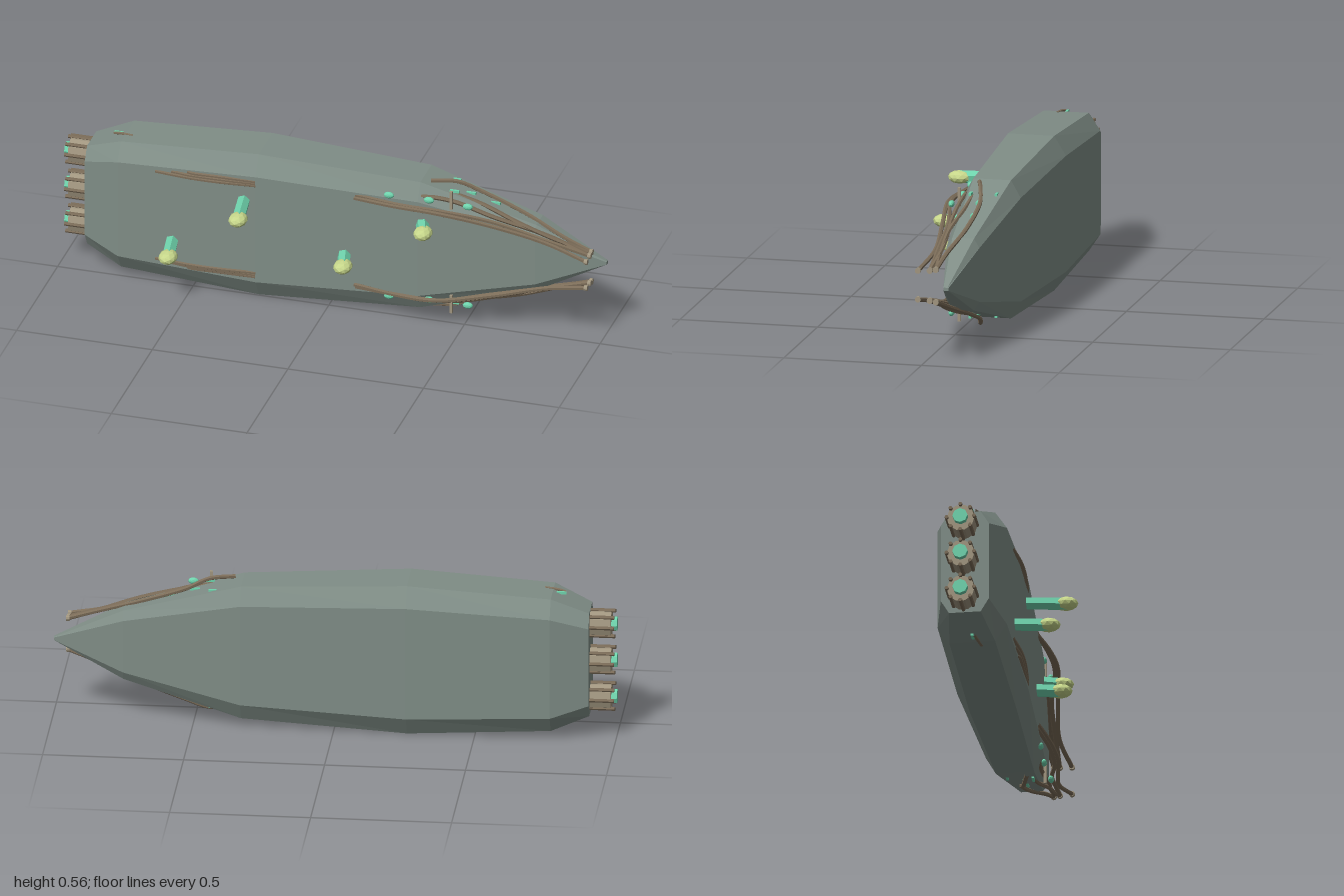
import * as THREE from 'three';

const mat = (name, color, flatShading = false) => {
  const m = new THREE.MeshStandardMaterial({ color, flatShading });
  m.name = name;
  return m;
};

export function createModel() {
  const root = new THREE.Group();
  root.name = 'organicShip';
  const hullGrey = mat('hullGrey', 0x7f8d86, true);
  const rootBrown = mat('rootBrown', 0x7b6c58, true);
  const paleTan = mat('paleTan', 0xa0957f, true);
  const glowGreen = mat('glowGreen', 0x6fd4ad, true);
  const podYellow = mat('podYellow', 0xc6d68a, true);
  const MID = 0.28;

  const add = (name, geo, material, pos = [0, 0, 0], parent = root) => {
    const m = new THREE.Mesh(geo, material);
    m.name = name;
    m.position.set(...pos);
    parent.add(m);
    return m;
  };
  // Upper and lower halves mirror about the hull's mid height
  const flip = ([x, y, z], side) => [x, MID + side * (y - MID), z];

  // Hull: octagonal sections [x, half height, back z, front z]
  const stations = [
    [-0.905, 0.195, -0.187, -0.016], [-0.77, 0.25, -0.217, 0.03],
    [-0.26, 0.28, -0.217, 0.037], [0.33, 0.25, -0.197, 0.01],
    [0.75, 0.13, -0.15, -0.031], [1, 0.006, -0.098, -0.08],
  ];
  const octagon = [[1, -0.66], [1, 0.66], [0.75, 1], [-0.75, 1], [-1, 0.66], [-1, -0.66], [-0.75, -1], [0.75, -1]];
  const rings = stations.map(([x, h, z0, z1]) => octagon.map(([u, v]) =>
    [x, MID + u * h, (z0 + z1) / 2 + v * (z1 - z0) / 2]));
  const verts = [];
  const tri = (...p) => p.forEach((q) => verts.push(...q));
  for (let i = 0; i < rings.length - 1; i++) {
    for (let j = 0; j < 8; j++) {
      const k = (j + 1) % 8;
      const [a, b, c, d] = [rings[i][j], rings[i][k], rings[i + 1][k], rings[i + 1][j]];
      tri(a, b, c);
      tri(a, c, d);
    }
  }
  const stern = rings[0], nose = rings[rings.length - 1];
  for (let j = 1; j < 7; j++) {
    tri(stern[0], stern[j + 1], stern[j]);
    tri(nose[0], nose[j], nose[j + 1]);
  }
  const hull = new THREE.BufferGeometry();
  hull.setAttribute('position', new THREE.Float32BufferAttribute(verts, 3));
  hull.computeVertexNormals();
  add('hull', hull, hullGrey);

  // Engines: tan drum, thin brown ribs, green core
  for (const y of [0.144, 0.282, 0.42]) {
    const engine = new THREE.Group();
    engine.name = 'engine';
    engine.position.set(-0.9, y, -0.106);
    root.add(engine);
    const drum = (name, r, x0, x1, material, dy = 0, dz = 0, sides = 8) => {
      const g = new THREE.CylinderGeometry(r, r, x1 - x0, sides).rotateZ(Math.PI / 2);
      add(name, g, material, [(x0 + x1) / 2, dy, dz], engine);
    };
    drum('engineDrum', 0.05, -0.08, 0.01, paleTan, 0, 0, 10);
    drum('engineCore', 0.027, -0.1, -0.07, glowGreen);
    for (let i = 0; i < 8; i++) {
      const a = (i / 8) * Math.PI * 2;
      const c = Math.cos(a), s = Math.sin(a);
      drum('engineRib', 0.007, -0.092, 0.01, rootBrown, c * 0.049, s * 0.049, 6);
    }
  }

  // Pods on stalks: [x, y, pod centre z]
  for (const [x, y, z] of [[-0.282, 0.388, 0.174], [0.368, 0.38, 0.069], [0.083, 0.22, 0.103], [-0.548, 0.184, 0.148]]) {
    const base = new THREE.Vector3(x - 0.03, y, -0.02);
    const tip = new THREE.Vector3(x, y, z);
    const axis = tip.clone().sub(base);
    const stalk = add('podStalk', new THREE.CylinderGeometry(0.024, 0.024, axis.length(), 6), glowGreen,
      base.clone().add(tip).multiplyScalar(0.5).toArray());
    stalk.quaternion.setFromUnitVectors(new THREE.Vector3(0, 1, 0), axis.normalize());
    const pod = new THREE.IcosahedronGeometry(1, 1).scale(0.034, 0.024, 0.043);
    add('pod', pod, podYellow, [x, y, z]);
  }

  // Root tendrils, drawn for the upper half
  const bowRoots = [
    [[0.1, 0.453, 0.018], [0.25, 0.456, 0.043], [0.4, 0.455, 0.05], [0.6, 0.42, 0.022], [0.8, 0.37, 0.0], [0.955, 0.332, 0.023]],
    [[0.1, 0.463, 0.013], [0.28, 0.46, 0.036], [0.42, 0.458, 0.036], [0.6, 0.425, 0.0], [0.8, 0.374, -0.012], [0.955, 0.334, -0.02]],
    [[0.27, 0.485, -0.008], [0.45, 0.48, -0.012], [0.6, 0.44, -0.012], [0.8, 0.385, -0.03], [0.955, 0.335, -0.02]],
    [[0.36, 0.526, -0.055], [0.45, 0.524, -0.08], [0.53, 0.49, -0.098], [0.7, 0.43, -0.088], [0.85, 0.375, -0.055], [0.955, 0.339, -0.042]],
    [[0.4, 0.5, -0.05], [0.55, 0.467, -0.045], [0.7, 0.42, -0.025], [0.85, 0.368, -0.03], [0.955, 0.338, -0.042]],
  ];
  const flankRoots = [0, 1, 2].map((i) => {
    const y = 0.454 + i * 0.008;
    return [[-0.63 + i * 0.06, y, 0.03], [-0.5, y, 0.044 - i * 0.004], [-0.4, y, 0.044 - i * 0.004], [-0.26, y, 0.033]];
  });
  const sternRoot = [[-0.815, 0.523, -0.08], [-0.79, 0.528, -0.074], [-0.74, 0.53, -0.064]];
  for (const side of [1, -1]) {
    const grow = (name, path, r) => {
      const curve = new THREE.CatmullRomCurve3(path.map((p) => new THREE.Vector3(...flip(p, side))));
      add(name, new THREE.TubeGeometry(curve, 28, r, 6), rootBrown);
    };
    for (const path of bowRoots) {
      grow('bowRoot', path, 0.008);
      const cap = new THREE.CylinderGeometry(0.0105, 0.0105, 0.012, 10).rotateZ(Math.PI / 2);
      add('bowRootTip', cap, paleTan, flip(path[path.length - 1], side));
    }
    flankRoots.forEach((p) => grow('flankRoot', p, 0.0065));
    grow('sternRoot', sternRoot, 0.0055);

    // Antenna post, sensor bulbs and small lights
    add('antennaPost', new THREE.BoxGeometry(0.01, 0.07, 0.011), paleTan, flip([0.45, 0.487, -0.003], side));
    for (const [x, y, z] of [[0.225, 0.481, 0.012], [0.37, 0.479, 0.004], [0.515, 0.477, 0.009]]) {
      const bulb = new THREE.IcosahedronGeometry(1, 1).scale(0.019, 0.0125, 0.0105);
      add('sensorBulb', bulb, glowGreen, flip([x, y, z], side));
    }
    for (const p of [[0.43, 0.5, -0.135], [0.45, 0.502, -0.045], [0.59, 0.456, -0.085], [0.5, 0.483, -0.083], [-0.8, 0.522, -0.088]]) {
      add('hullLight', new THREE.BoxGeometry(0.034, 0.009, 0.009), glowGreen, flip(p, side));
    }
  }
  return root;
}
